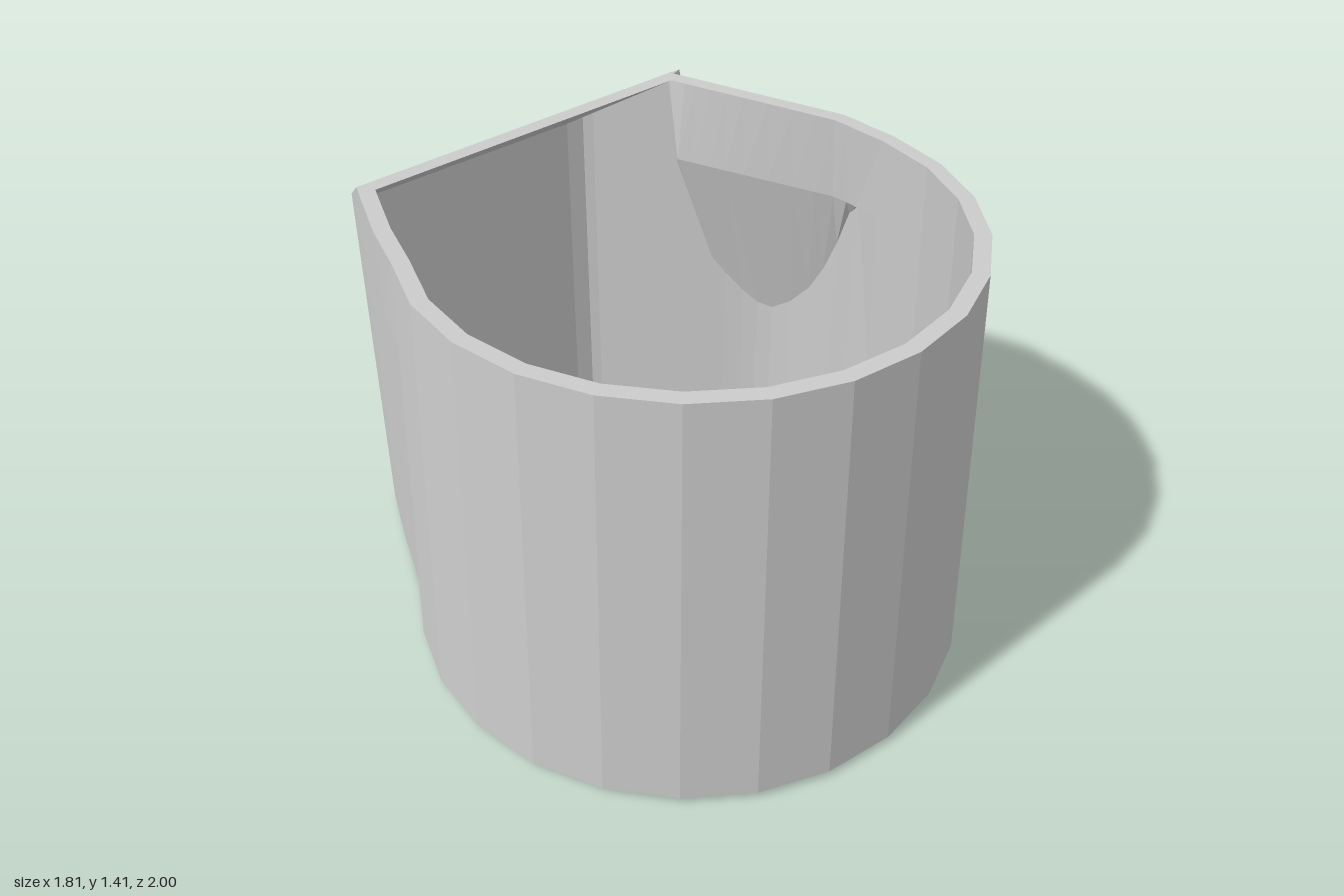
import * as THREE from 'three';

const BASE = 0.02, TOP = 1.41, WALL = 0.05;
const v = (x, y, z) => new THREE.Vector3(x, y, z);

// Height of the sloping back chamfer at a given z
const chamferY = z => TOP - 0.667 * Math.max(0, -0.7 - z);

// Round band: corner k of a regular polygon that narrows towards the top
function bandColumn(k) {
  const angle = THREE.MathUtils.degToRad(1.3 + 14.75 * k);
  return [0, 0.4, 0.8, 1].map(t => {
    const r = 0.89 - 0.05 * t;
    return v(-0.02 + r * Math.sin(angle), BASE + (TOP - BASE) * t, 0.11 + r * Math.cos(angle));
  });
}

// Bulge on the left side: upright, cut by a slanted plane up to y = 1.13, then up to the rim
function bulgeColumn({ x, y: z }) {
  const lineX = 0.7 + 0.402 * (z + 0.42);
  const cutY = Math.min(1.12, 1.13 - (x - lineX) / 0.29);
  const rimX = Math.min(0.815, 0.8 + 0.351 * (z + 0.13));
  return [v(x, BASE, z), v(x, cutY, z), v(Math.min(lineX, 0.835), 1.13, z), v(rimX, TOP, z)];
}

// Back: upright to the chamfer edge (leaning in by lean), then sloping forward to the rim
function backColumn([x, z, rimX, rimZ = -0.7, lean = 0]) {
  const edgeZ = z + lean;
  return [v(x, BASE, z), v(x, 1.08, z + lean * 0.8), v(x, chamferY(edgeZ), edgeZ), v(rimX, TOP, rimZ)];
}

// Columns run from the front round the left side, the back and the right side
const bulgeCurve = new THREE.SplineCurve(
  [[0.857, 0.01], [0.89, -0.1], [0.905, -0.24], [0.88, -0.41], [0.82, -0.525], [0.745, -0.62]]
    .map(([x, z]) => new THREE.Vector2(x, z)));
const backCorners = [
  [0.66, -0.72, 0.605, -0.685], [0.52, -0.89, 0.597], [0.47, -0.95, 0.57], [0.43, -0.985, 0.53], [0.35, -1, 0.44],
  [0, -1, 0, -0.7, 0.022], [-0.475, -0.967, -0.55, -0.7, 0.022], [-0.51, -0.94, -0.615], [-0.602, -0.735, -0.63, -0.665],
];
const columns = [
  ...[0, 1, 2, 3, 4, 5, 6].map(bandColumn),
  ...bulgeCurve.getPoints(10).map(bulgeColumn),
  ...backCorners.map(backColumn),
  [v(-0.71, 0, -0.45), v(-0.712, 0.57, -0.45), v(-0.714, 1.13, -0.45), v(-0.715, TOP, -0.45)],
  ...[-8, -7, -6, -5, -4, -3, -2, -1].map(bandColumn),
];
const n = columns.length;

// Inner wall: every point moved inward along the mitred normal of its ring
function inset(i, row) {
  const p = columns[i][row], prev = columns[(i + n - 1) % n][row], next = columns[(i + 1) % n][row];
  const normal = (a, b) => new THREE.Vector2(a.z - b.z, b.x - a.x).normalize();
  const n1 = normal(prev, p);
  const m = n1.clone().add(normal(p, next)).normalize();
  const d = WALL / Math.max(0.75, m.dot(n1));
  return v(p.x - m.x * d, p.y, p.z - m.y * d);
}

// Flat-shaded surface closed round the ring, from a list of profiles
function ringSurface(profiles) {
  const points = [];
  profiles.forEach((a, i) => {
    const b = profiles[(i + 1) % n];
    for (let j = 0; j + 1 < a.length; j++) {
      points.push(a[j], b[j], b[j + 1], a[j], b[j + 1], a[j + 1]);
    }
  });
  const geometry = new THREE.BufferGeometry().setFromPoints(points);
  geometry.computeVertexNormals();
  return geometry;
}

export function createModel() {
  const group = new THREE.Group();
  group.name = 'sleeve';
  const material = new THREE.MeshStandardMaterial({ color: 0xcccccc, flatShading: true, side: THREE.DoubleSide });
  const inner = columns.map((c, i) => c.map((_, row) => inset(i, row)));
  const parts = {
    outerWall: columns,
    innerWall: inner.map(c => [...c].reverse()),
    topRim: columns.map((c, i) => [c[3], inner[i][3]]),
    bottomRim: columns.map((c, i) => [inner[i][0], c[0]]),
  };
  for (const [name, profiles] of Object.entries(parts)) {
    const mesh = new THREE.Mesh(ringSurface(profiles), material);
    mesh.name = name;
    group.add(mesh);
  }
  return group;
}
